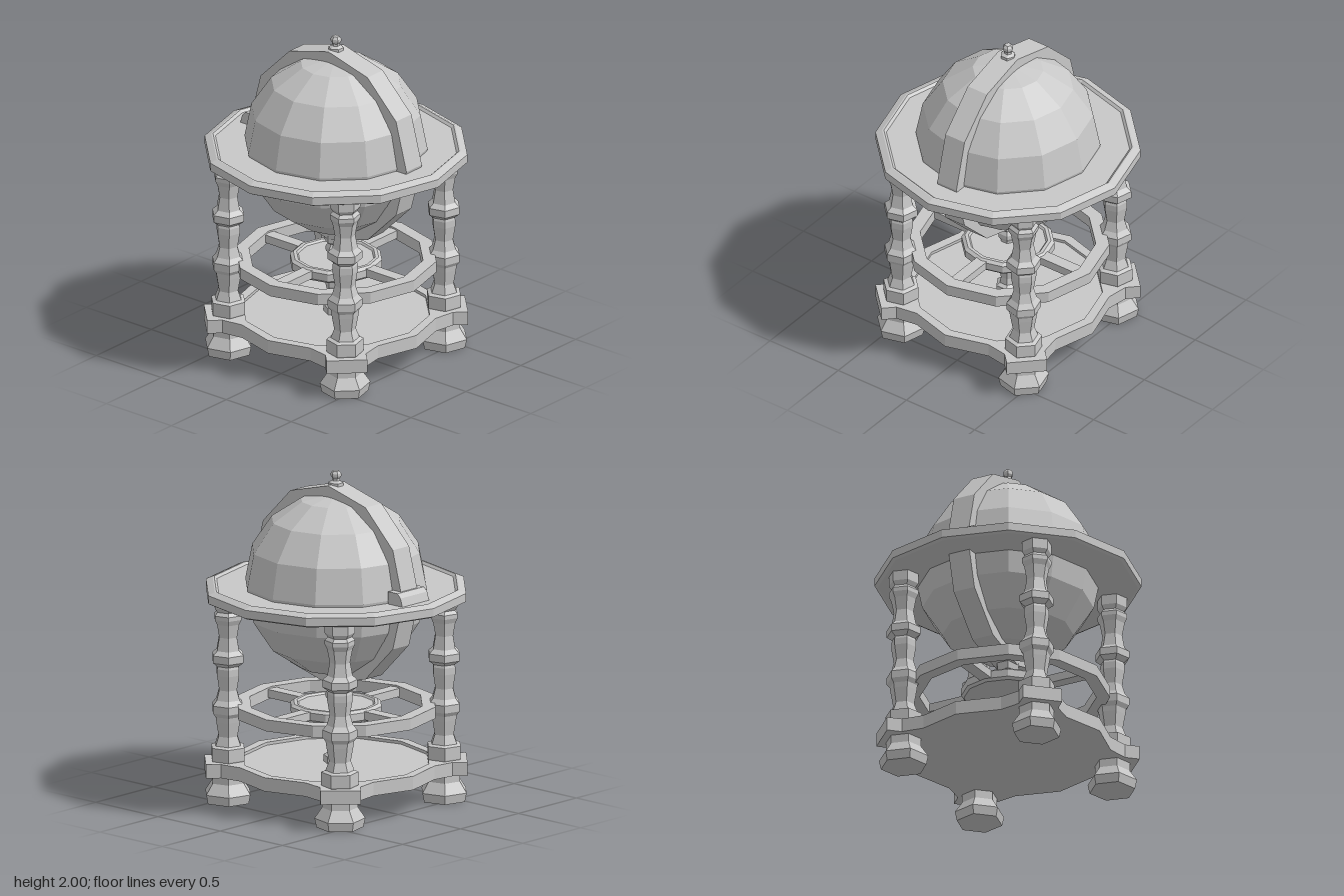
import * as THREE from 'three';

const stone = new THREE.MeshStandardMaterial({ color: 0xc8c8c8 });
stone.name = 'plain grey';

// Split shared vertices so that every facet is flat
function facet(geometry) {
  const g = geometry.index ? geometry.toNonIndexed() : geometry;
  g.computeVertexNormals();
  return g;
}

function part(parent, name, geometry, x = 0, y = 0, z = 0) {
  const mesh = new THREE.Mesh(facet(geometry), stone);
  mesh.name = name;
  mesh.position.set(x, y, z);
  parent.add(mesh);
  return mesh;
}

// Profile given as [radius, height] pairs
const turned = (profile, sides) =>
  new THREE.LatheGeometry(profile.map(([r, y]) => new THREE.Vector2(r, y)), sides);

// Closed ring of rectangular section
const hoop = (inner, outer, bottom, top) =>
  turned([[inner, bottom], [outer, bottom], [outer, top], [inner, top], [inner, bottom]], 12);

// Outline of the base: a twelve-sided disc with four square corner lugs
function baseOutline() {
  const points = [];
  for (let i = 0; i < 4; i++) {
    const a = i * Math.PI / 2, d = a + Math.PI / 4;
    const polar = (r, t) => points.push(new THREE.Vector2(r * Math.cos(t), r * Math.sin(t)));
    const lug = (u, v) => points.push(new THREE.Vector2(
      u * Math.cos(d) - v * Math.sin(d), u * Math.sin(d) + v * Math.cos(d)));
    polar(0.62, a);
    polar(0.605, a + Math.PI / 7);
    lug(0.68, -0.12);
    lug(0.77, -0.12);
    lug(0.77, 0.12);
    lug(0.68, 0.12);
    polar(0.605, a + Math.PI / 2 - Math.PI / 7);
  }
  return new THREE.Shape(points);
}

function slab(shape, depth) {
  return new THREE.ExtrudeGeometry(shape, { depth, bevelEnabled: false }).rotateX(-Math.PI / 2);
}

export function createModel() {
  const model = new THREE.Group();
  model.name = 'globeOnStand';

  // Base with a shallow recessed floor
  part(model, 'baseSlab', slab(baseOutline(), 0.065), 0, 0.17, 0);
  const rim = baseOutline();
  const hole = [];
  for (let i = 0; i < 12; i++) {
    const a = -i * Math.PI / 6;
    hole.push(new THREE.Vector2(0.56 * Math.cos(a), 0.56 * Math.sin(a)));
  }
  rim.holes.push(new THREE.Path(hole));
  part(model, 'baseRim', slab(rim, 0.018), 0, 0.235, 0);

  // Four turned legs on the diagonals
  const legProfile = [
    [0, 0], [0.138, 0], [0.15, 0.055], [0.106, 0.12], [0.106, 0.25],
    [0.11, 0.26], [0.11, 0.335], [0.085, 0.345], [0.064, 0.40], [0.08, 0.49],
    [0.084, 0.52], [0.103, 0.545], [0.103, 0.59], [0.078, 0.62], [0.06, 0.68],
    [0.075, 0.77], [0.075, 0.81], [0.07, 0.825], [0.103, 0.85], [0.103, 0.895],
    [0.075, 0.92], [0.06, 1.0], [0.075, 1.08], [0.09, 1.11], [0.09, 1.135],
    [0.072, 1.155], [0.09, 1.18], [0.09, 1.25], [0, 1.25]];
  for (let i = 0; i < 4; i++) {
    const a = Math.PI / 4 + i * Math.PI / 2;
    const leg = part(model, 'leg', turned(legProfile, 6),
      0.636 * Math.sin(a), 0, 0.636 * Math.cos(a));
    leg.rotation.y = a + Math.PI / 6;
  }

  // Stretcher ring with hub and spokes
  part(model, 'stretcherRing', hoop(0.52, 0.60, 0.53, 0.60));
  part(model, 'stretcherHub', turned([
    [0, 0.525], [0.26, 0.525], [0.275, 0.54], [0.275, 0.585], [0.255, 0.60],
    [0.235, 0.60], [0.225, 0.588], [0, 0.588]], 12));
  for (let i = 0; i < 4; i++) {
    const a = i * Math.PI / 2;
    const spoke = part(model, 'spoke', new THREE.BoxGeometry(0.075, 0.05, 0.30),
      0.395 * Math.sin(a), 0.565, 0.395 * Math.cos(a));
    spoke.rotation.y = a;
  }

  // Central post carrying the globe
  part(model, 'centrePost', turned([
    [0, 0.235], [0.075, 0.235], [0.075, 0.275], [0.052, 0.29], [0.045, 0.33],
    [0.064, 0.41], [0.064, 0.46], [0.045, 0.52], [0.045, 0.60], [0.062, 0.625],
    [0.062, 0.65], [0.045, 0.675], [0.07, 0.69], [0.075, 0.735], [0, 0.735]], 6));

  // Globe
  part(model, 'globe', new THREE.SphereGeometry(0.547, 12, 8), 0, 1.32, 0);

  // Upright meridian band
  part(model, 'meridianBand', hoop(0.525, 0.602, -0.07, 0.07).rotateX(Math.PI / 2), 0, 1.32, 0);

  // Horizon table with chamfered edge and recessed top
  part(model, 'horizonTable', turned([
    [0.53, 1.24], [0.765, 1.24], [0.785, 1.25], [0.785, 1.30], [0.745, 1.318],
    [0.735, 1.318], [0.72, 1.304], [0.53, 1.304], [0.53, 1.24]], 12));

  // Clasp where the band meets the table
  const clasp = new THREE.Shape([[-0.64, 0], [-0.525, 0], [-0.525, 0.075], [-0.60, 0.075], [-0.625, 0.05]]
    .map(([x, y]) => new THREE.Vector2(x, y)));
  part(model, 'bandClasp', new THREE.ExtrudeGeometry(clasp, { depth: 0.23, bevelEnabled: false }),
    0, 1.304, -0.115);

  // Finial
  part(model, 'finial', turned([
    [0, 1.90], [0.045, 1.90], [0.045, 1.93], [0.024, 1.942], [0.022, 1.955],
    [0.032, 1.97], [0.032, 1.985], [0.02, 2.0], [0, 2.0]], 6));

  return model;
}
